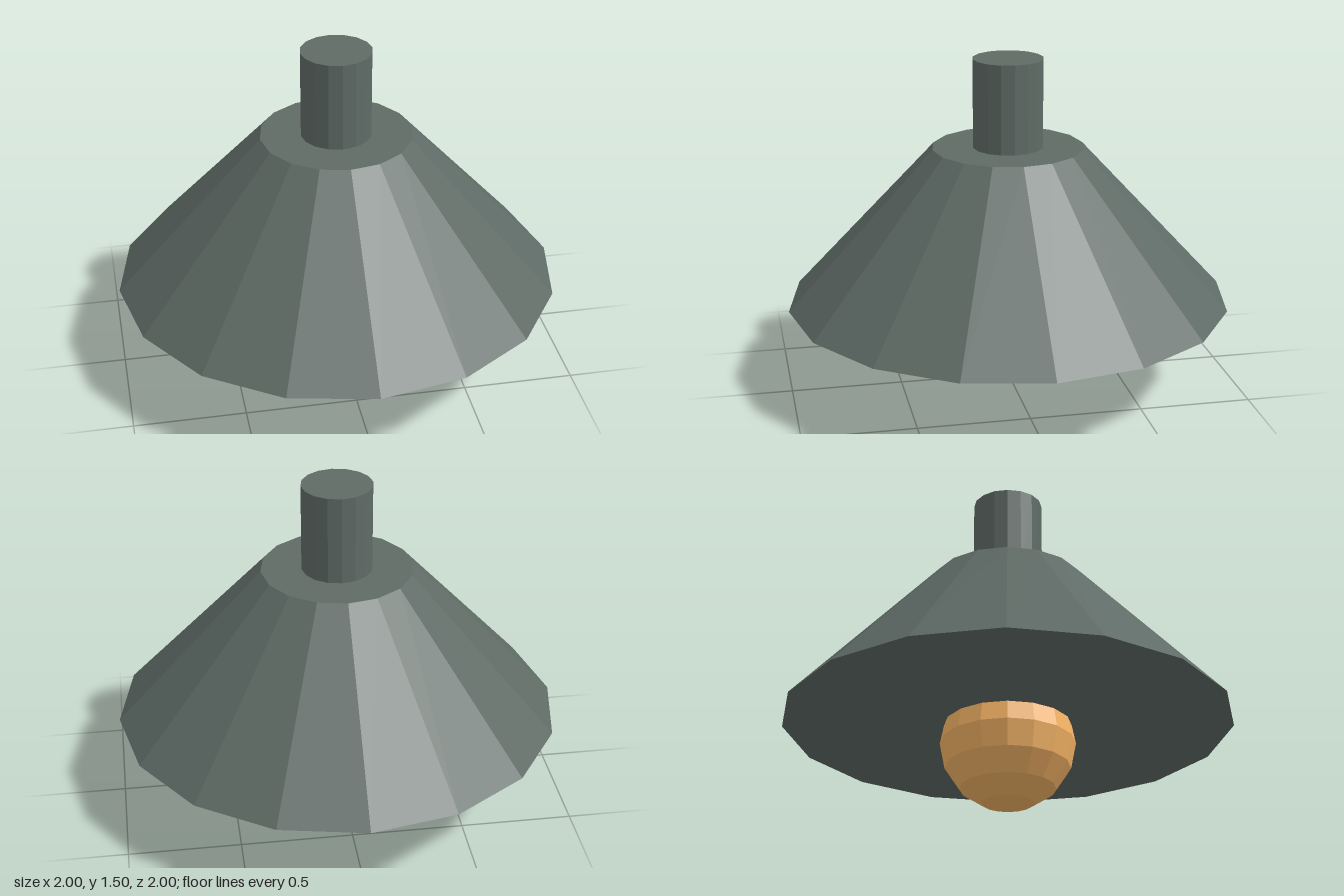
import * as THREE from 'three';

const SIDES = 16;

function paint(color) {
  return new THREE.MeshStandardMaterial({ color, flatShading: true });
}

// Faceted cylinder or cone frustum spanning y0..y1
function frustum(name, rTop, rBottom, y0, y1, material) {
  const mesh = new THREE.Mesh(
    new THREE.CylinderGeometry(rTop, rBottom, y1 - y0, SIDES), material);
  mesh.name = name;
  mesh.position.y = (y0 + y1) / 2;
  return mesh;
}

export function createModel() {
  const lamp = new THREE.Group();
  lamp.name = 'pendantLamp';
  const metal = paint(0x5f6b66);

  // Closed conical shade with the mounting stem on top
  lamp.add(frustum('shade', 0.34, 1, 0.385, 1.1, metal));
  lamp.add(frustum('stem', 0.158, 0.158, 1.1, 1.5, metal));

  // Bulb, partly sunk into the underside of the shade
  const bulb = new THREE.Mesh(new THREE.SphereGeometry(0.3, SIDES, 8), paint(0xf5b465));
  bulb.name = 'bulb';
  bulb.position.y = 0.3;
  lamp.add(bulb);

  return lamp;
}
